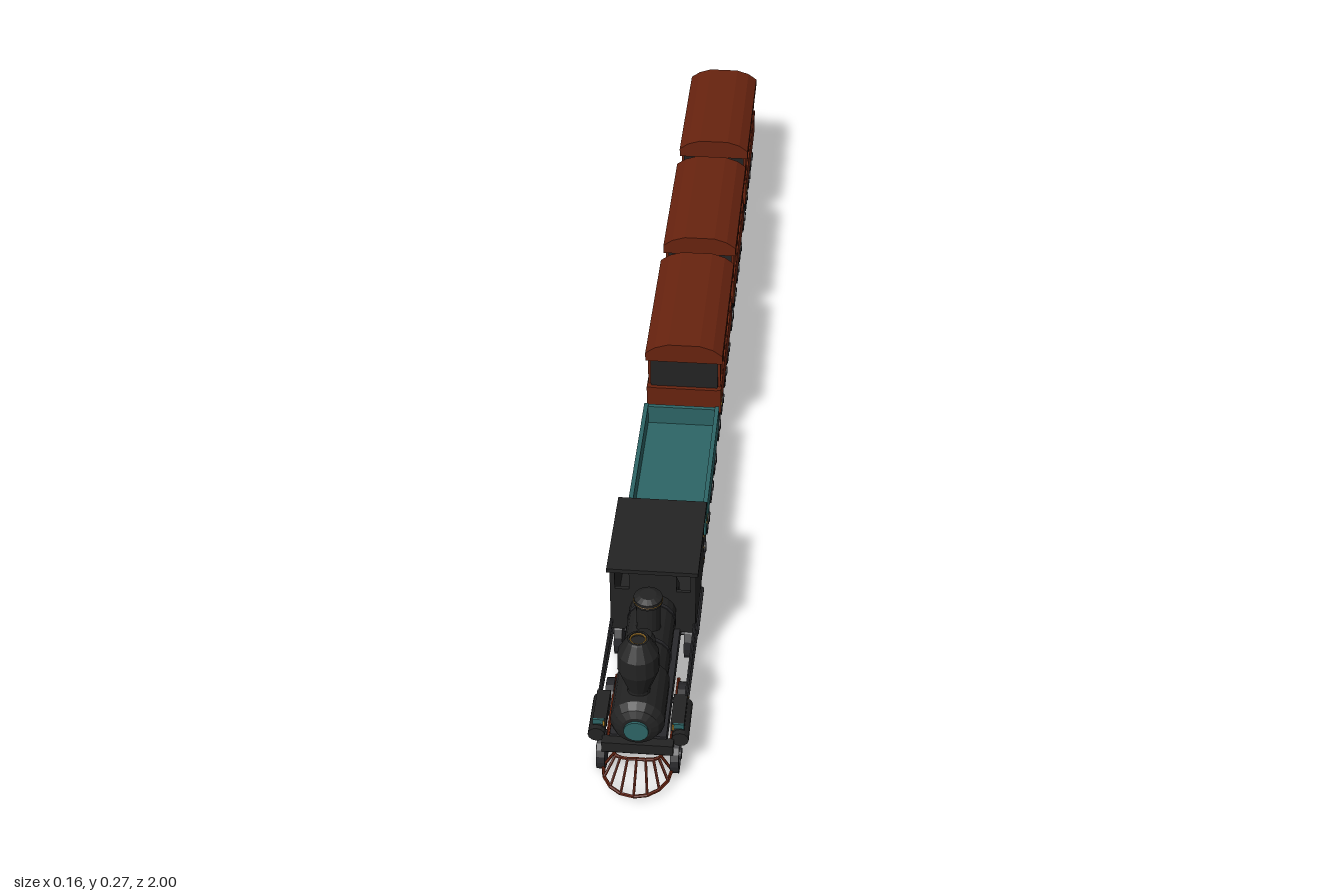
import * as THREE from 'three';

const mat = (name, color) => {
  const m = new THREE.MeshStandardMaterial({ color, flatShading: true, side: THREE.DoubleSide });
  m.name = name;
  return m;
};

export function createModel() {
  const black = mat('soot black', 0x232323);
  const iron = mat('dark iron', 0x29292c);
  const red = mat('oxide red', 0x68230f);
  const teal = mat('teal', 0x2d6566);
  const gold = mat('brass', 0xb8862b);
  const seatRed = mat('dark wood', 0x45190d);

  const add = (parent, name, geo, m, x = 0, y = 0, z = 0) => {
    const mesh = new THREE.Mesh(geo, m);
    mesh.name = name;
    mesh.position.set(x, y, z);
    parent.add(mesh);
    return mesh;
  };
  // Box given by its ranges on each axis
  const box = (parent, name, m, x0, x1, y0, y1, z0, z1) =>
    add(parent, name, new THREE.BoxGeometry(x1 - x0, y1 - y0, z1 - z0), m, (x0 + x1) / 2, (y0 + y1) / 2, (z0 + z1) / 2);
  const lathe = (pts, n = 16) => new THREE.LatheGeometry(pts.map(p => new THREE.Vector2(...p)), n);
  // Straight rod between two points
  const rod = (parent, name, m, a, b, r = 0.002) => {
    const A = new THREE.Vector3(...a), B = new THREE.Vector3(...b);
    const d = B.clone().sub(A);
    const mesh = add(parent, name, new THREE.CylinderGeometry(r, r, d.length(), 6), m);
    mesh.position.copy(A).addScaledVector(d, 0.5);
    mesh.quaternion.setFromUnitVectors(new THREE.Vector3(0, 1, 0), d.normalize());
  };
  // Profile in x-y extruded from z0 to z1
  const extrude = (pts, z0, z1) =>
    new THREE.ExtrudeGeometry(new THREE.Shape(pts.map(p => new THREE.Vector2(...p))), { depth: z1 - z0, bevelEnabled: false }).translate(0, 0, z0);

  // Pair of wheels with raised rim and hub, joined by an axle
  const wheelGeo = r => lathe([[0, -0.008], [r, -0.008], [r, 0.006], [r * 0.76, 0.006], [r * 0.72, 0.001],
    [r * 0.32, 0.001], [r * 0.28, 0.009], [0, 0.009]], 18);
  const wheelset = (parent, r, z) => {
    const g = new THREE.Group();
    g.name = 'wheelset';
    for (const s of [-1, 1]) {
      add(g, 'wheel', wheelGeo(r), iron, s * 0.061, r, z).rotation.z = -s * Math.PI / 2;
      for (let i = 0; i < 4; i++) {
        const a = i * Math.PI / 4;
        const dy = Math.cos(a) * r * 0.78, dz = Math.sin(a) * r * 0.78;
        rod(g, 'spoke', black, [s * 0.063, r - dy, z - dz], [s * 0.063, r + dy, z + dz]);
      }
    }
    rod(g, 'axle', iron, [-0.06, r, z], [0.06, r, z], 0.005);
    parent.add(g);
  };

  // Shared undercarriage, length 0.315, front end at local z = 0
  const L = 0.315;
  const chassis = g => {
    box(g, 'chassis', iron, -0.066, 0.066, 0.058, 0.08, -L, 0);
    const plate = extrude([[-0.066, 0], [0.066, 0], [0.062, 0.022], [0.04, 0.034], [-0.04, 0.034], [-0.062, 0.022]], 0, 0.012);
    add(g, 'endPlatform', plate.rotateX(Math.PI / 2), iron, 0, 0.084, 0);
    box(g, 'coupling', iron, -0.01, 0.01, 0.062, 0.074, -0.01, 0.042);
    for (const z of [-0.022, -0.106, -0.196, -0.277]) wheelset(g, 0.033, z);
    for (const s of [-1, 1]) for (const z of [-0.064, -0.236])
      box(g, 'bogieFrame', iron, s * 0.05 - 0.004, s * 0.05 + 0.004, 0.03, 0.06, z - 0.05, z + 0.05);
  };

  const tender = () => {
    const g = new THREE.Group();
    g.name = 'tender';
    chassis(g);
    box(g, 'tenderFloor', teal, -0.068, 0.068, 0.08, 0.088, -L, 0);
    for (const s of [-1, 1]) {
      box(g, 'tenderSide', teal, s * 0.067 - 0.004, s * 0.067 + 0.004, 0.08, 0.128, -L, 0);
      box(g, 'brassTrim', gold, s * 0.0715 - 0.0006, s * 0.0715 + 0.0006, 0.095, 0.115, -0.018, -0.014);
    }
    box(g, 'tenderFront', teal, -0.066, 0.066, 0.08, 0.126, -0.008, 0);
    box(g, 'tenderBack', teal, -0.066, 0.066, 0.08, 0.126, -L, -L + 0.008);
    return g;
  };

  const roofPts = [[-0.073, 0.194], [0.073, 0.194], [0.073, 0.212], [0.055, 0.225], [0.03, 0.233],
    [-0.03, 0.233], [-0.055, 0.225], [-0.073, 0.212]];
  const passengerCar = () => {
    const g = new THREE.Group();
    g.name = 'passengerCar';
    chassis(g);
    box(g, 'carFloor', seatRed, -0.066, 0.066, 0.08, 0.086, -L, 0);
    add(g, 'carRoof', extrude(roofPts, -L, 0), red);
    for (const s of [-1, 1]) {
      box(g, 'carSide', red, s * 0.067 - 0.004, s * 0.067 + 0.004, 0.078, 0.132, -L, 0);
      box(g, 'windowHeader', red, s * 0.066 - 0.003, s * 0.066 + 0.003, 0.184, 0.196, -L + 0.012, -0.012);
      for (let i = 0; i < 8; i++) {
        const z = -0.016 - i * (L - 0.032) / 7;
        box(g, 'windowPost', red, s * 0.066 - 0.003, s * 0.066 + 0.003, 0.13, 0.195, z - 0.004, z + 0.004);
      }
      for (let i = 0; i < 5; i++) {
        const z = -0.055 - i * 0.05;
        box(g, 'seat', seatRed, s * 0.038 - 0.019, s * 0.038 + 0.019, 0.086, 0.115, z - 0.012, z + 0.016);
        box(g, 'seatBack', seatRed, s * 0.038 - 0.019, s * 0.038 + 0.019, 0.086, 0.158, z - 0.016, z - 0.008);
      }
      for (const y of [0.09, 0.104, 0.118])
        box(g, 'brassTrim', gold, s * 0.0715 - 0.0006, s * 0.0715 + 0.0006, y, y + 0.006, -0.014, -0.01);
    }
    for (const z of [-0.008, -L]) {
      box(g, 'endWall', red, -0.066, 0.066, 0.08, 0.131, z, z + 0.008);
      box(g, 'endPanel', black, -0.064, 0.064, 0.131, 0.195, z ? z + (z < -0.1 ? 0.008 : -0.004) : 0, z + (z < -0.1 ? 0.012 : 0));
    }
    return g;
  };

  const locomotive = () => {
    const g = new THREE.Group();
    g.name = 'locomotive';
    // Boiler, smokebox and front door
    add(g, 'boiler', lathe([[0, 0.6], [0.04, 0.6], [0.04, 0.83], [0.044, 0.83], [0.044, 0.925], [0.036, 0.938], [0.024, 0.944], [0, 0.944]], 18)
      .rotateX(Math.PI / 2), black, 0, 0.118, 0);
    for (const z of [0.69, 0.775]) add(g, 'boilerBand', new THREE.CylinderGeometry(0.0415, 0.0415, 0.007, 18).rotateX(Math.PI / 2), iron, 0, 0.118, z);
    add(g, 'smokeboxDoor', new THREE.CylinderGeometry(0.02, 0.02, 0.006, 18).rotateX(Math.PI / 2), teal, 0, 0.116, 0.945);
    // Flared chimney and domes
    add(g, 'chimney', lathe([[0.019, 0.145], [0.018, 0.165], [0.034, 0.21], [0.033, 0.243], [0.019, 0.268], [0.017, 0.271], [0.014, 0.271], [0.013, 0.264], [0, 0.264]], 14), black, 0, 0, 0.895);
    add(g, 'chimneyRing', new THREE.TorusGeometry(0.0125, 0.0015, 5, 14).rotateX(Math.PI / 2), gold, 0, 0.2685, 0.895);
    add(g, 'sandDome', lathe([[0.02, 0.145], [0.019, 0.195], [0.014, 0.205], [0, 0.209]]), black, 0, 0, 0.815);
    add(g, 'steamDome', lathe([[0.022, 0.145], [0.02, 0.155], [0.02, 0.205], [0.024, 0.207], [0.024, 0.218], [0.014, 0.223], [0, 0.223]]), black, 0, 0, 0.74);
    add(g, 'domeBand', new THREE.TorusGeometry(0.0235, 0.0012, 4, 16).rotateX(Math.PI / 2), gold, 0, 0.212, 0.74);
    // Frame
    box(g, 'frame', iron, -0.046, 0.046, 0.052, 0.08, 0.49, 0.92);
    box(g, 'bufferBeam', black, -0.058, 0.058, 0.055, 0.075, 0.918, 0.936);
    box(g, 'rearCoupling', iron, -0.04, 0.04, 0.055, 0.075, 0.475, 0.495);
    // Cab, open at the back
    box(g, 'cabFloor', black, -0.072, 0.072, 0.074, 0.084, 0.493, 0.667);
    box(g, 'cabRoof', black, -0.077, 0.077, 0.206, 0.214, 0.487, 0.674);
    const wall = new THREE.Shape([[-0.072, 0.08], [0.072, 0.08], [0.072, 0.208], [-0.072, 0.208]].map(p => new THREE.Vector2(...p)));
    for (const s of [-1, 1])
      wall.holes.push(new THREE.Path([[0.04, 0.165], [0.064, 0.165], [0.064, 0.2], [0.04, 0.2]].map(p => new THREE.Vector2(s * p[0], p[1]))));
    add(g, 'cabFront', new THREE.ExtrudeGeometry(wall, { depth: 0.006, bevelEnabled: false }), black, 0, 0, 0.661);
    for (const s of [-1, 1]) {
      const side = (name, y0, y1, z0, z1) => box(g, name, black, s * 0.0695 - 0.003, s * 0.0695 + 0.003, y0, y1, z0, z1);
      side('cabSide', 0.076, 0.158, 0.493, 0.666);
      side('cabFrontPost', 0.157, 0.207, 0.618, 0.666);
      side('cabRearPost', 0.157, 0.207, 0.493, 0.501);
      for (let i = 0; i < 5; i++)
        box(g, 'brassRivet', gold, s * 0.073 - 0.0006, s * 0.073 + 0.0006, 0.09 + i * 0.026, 0.093 + i * 0.026, 0.495, 0.498);
      // Cylinders, valve chests and motion
      add(g, 'cylinder', new THREE.CylinderGeometry(0.014, 0.014, 0.082, 12).rotateX(Math.PI / 2), black, s * 0.068, 0.075, 0.878);
      box(g, 'valveChest', black, s * 0.063 - 0.011, s * 0.063 + 0.011, 0.084, 0.103, 0.845, 0.91);
      box(g, 'valveCover', teal, s * 0.065 - 0.009, s * 0.065 + 0.009, 0.093, 0.103, 0.91, 0.913);
      box(g, 'valveTrim', gold, s * 0.056 - 0.0015, s * 0.056 + 0.0015, 0.09, 0.101, 0.9115, 0.9145);
      rod(g, 'runningRail', iron, [s * 0.071, 0.092, 0.66], [s * 0.071, 0.092, 0.85], 0.003);
      rod(g, 'mainRod', iron, [s * 0.072, 0.075, 0.84], [s * 0.072, 0.048, 0.635], 0.003);
      rod(g, 'couplingRod', iron, [s * 0.072, 0.043, 0.635], [s * 0.072, 0.043, 0.52], 0.004);
      rod(g, 'bogieRod', red, [s * 0.052, 0.055, 0.76], [s * 0.052, 0.055, 0.91], 0.003);
      rod(g, 'brassPipe', gold, [s * 0.073, 0.062, 0.83], [s * 0.073, 0.09, 0.835], 0.0015);
    }
    wheelset(g, 0.043, 0.635);
    wheelset(g, 0.043, 0.522);
    wheelset(g, 0.032, 0.908);
    wheelset(g, 0.032, 0.788);
    // Cowcatcher: bars fanning from an upper to a lower rail
    const lower = t => [0.056 * Math.sin(t), 0.02, 0.934 + 0.063 * Math.cos(t)];
    const upper = t => [0.038 * Math.sin(t), 0.053 - 0.004 * Math.abs(Math.sin(t)), 0.932 + 0.014 * Math.cos(t)];
    const n = 8;
    for (let i = 0; i <= n; i++) {
      const t = (i / n - 0.5) * Math.PI, u = ((i + 1) / n - 0.5) * Math.PI;
      rod(g, 'cowcatcherBar', red, lower(t), upper(t), 0.0024);
      if (i < n) {
        rod(g, 'cowcatcherRail', red, lower(t), lower(u), 0.003);
        rod(g, 'cowcatcherTopRail', red, upper(t), upper(u), 0.003);
      }
    }
    return g;
  };

  const train = new THREE.Group();
  train.name = 'train';
  train.add(locomotive());
  const t = tender();
  t.position.z = 0.42;
  train.add(t);
  for (const z of [0.06, -0.308, -0.685]) {
    const car = passengerCar();
    car.position.z = z;
    train.add(car);
  }
  return train;
}
